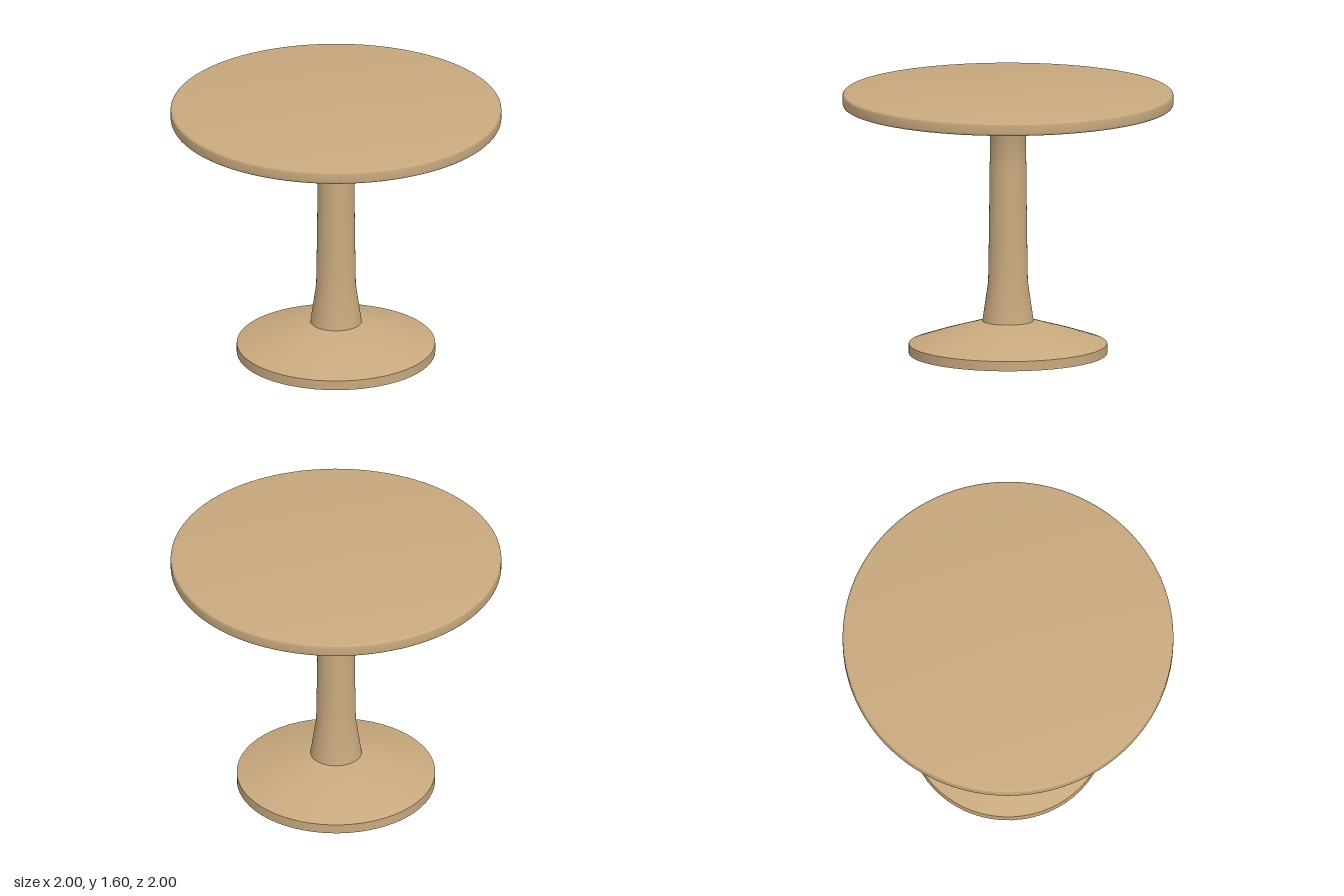
import * as THREE from 'three';
import { toCreasedNormals } from 'three/addons/utils/BufferGeometryUtils.js';

const wood = new THREE.MeshStandardMaterial({ color: 0xc8a97e });

// Turned part from a bottom-to-top profile of [radius, height] pairs
function turned(name, profile, segments = 64) {
  const points = profile.map(([r, y]) => new THREE.Vector2(r, y));
  const geometry = toCreasedNormals(new THREE.LatheGeometry(points, segments), 0.6);
  const mesh = new THREE.Mesh(geometry, wood);
  mesh.name = name;
  return mesh;
}

// Quarter-round edge of radius f centred at (r, y), starting at angle a
function roundedEdge(r, y, f, a, steps = 4) {
  return Array.from({ length: steps + 1 }, (_, i) => {
    const t = a + (i / steps) * Math.PI / 2;
    return [r + f * Math.cos(t), y + f * Math.sin(t)];
  });
}

export function createModel() {
  const table = new THREE.Group();
  table.name = 'pedestalTable';

  // Foot: short rim and a shallow, slightly domed slope
  table.add(turned('base', [
    [0, 0], [0.6, 0], [0.6, 0.06], [0.44, 0.114], [0.155, 0.2], [0, 0.2],
  ]));

  // Column flaring at both ends
  table.add(turned('column', [
    [0.155, 0.2], [0.12, 0.44], [0.115, 0.75], [0.111, 1.13], [0.108, 1.34], [0.155, 1.45],
  ]));

  // Mounting disc below the top
  table.add(turned('supportPlate', [
    [0, 1.45], [0.44, 1.45], [0.44, 1.52], [0, 1.52],
  ]));

  // Round top with softened edges
  const f = 0.015;
  table.add(turned('tableTop', [
    [0, 1.52],
    ...roundedEdge(1 - f, 1.52 + f, f, -Math.PI / 2),
    ...roundedEdge(1 - f, 1.6 - f, f, 0),
    [0, 1.6],
  ], 96));

  return table;
}
